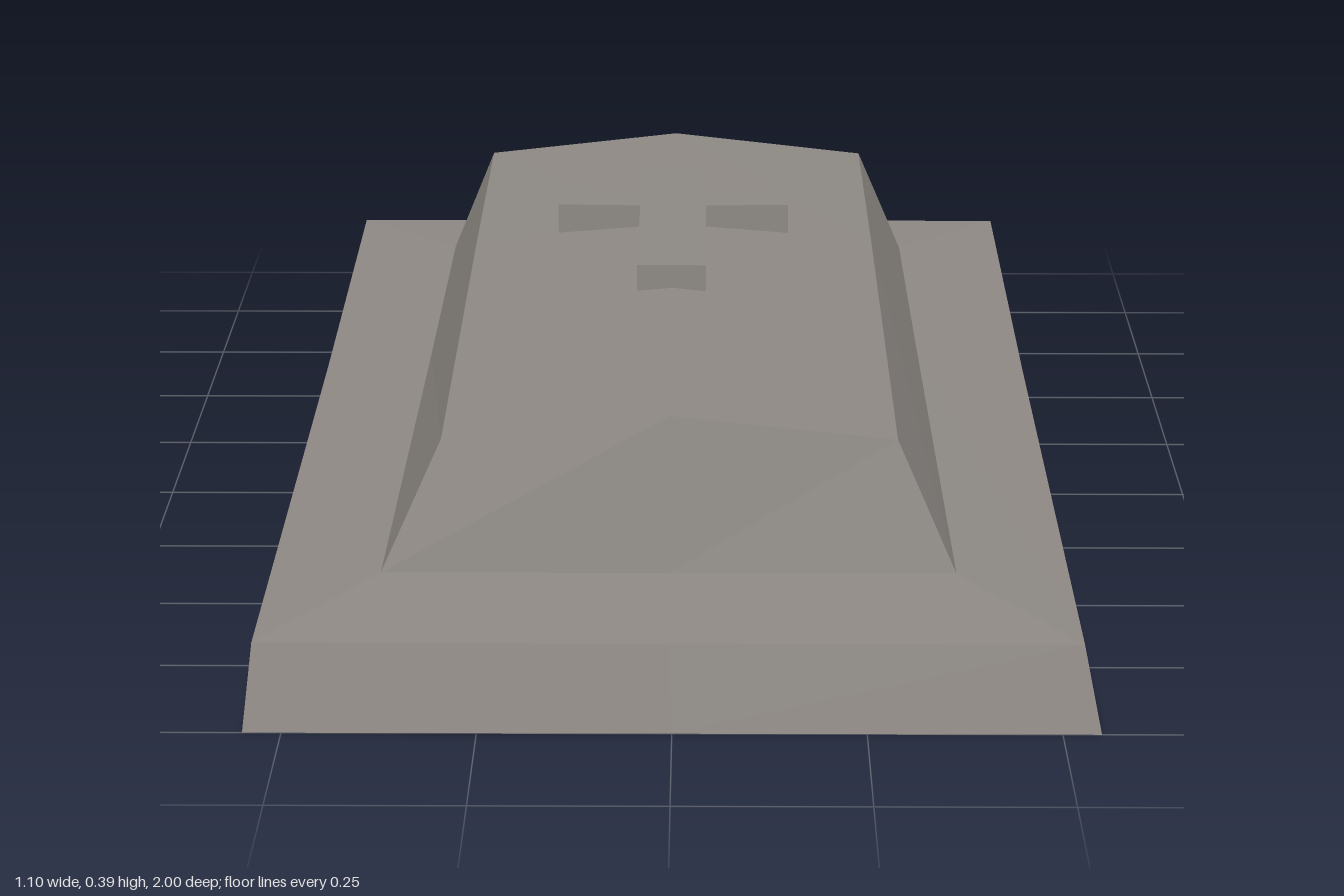
import * as THREE from 'three';

const stone = new THREE.MeshStandardMaterial({ color: 0x8c8782 });
const MID_Z = -0.2;

// Eight-point outline, counter-clockwise from above, plus a centre point.
// front/back: [z, xMin, xMax, y]; yMid: height at MID_Z; rise: ridge above the edge
function ring(front, yMid, back, rise = [0, 0, 0]) {
  const [zf, af, bf, yf] = front, [zb, ab, bb, yb] = back;
  const t = (zf - MID_Z) / (zf - zb);
  const am = af + (ab - af) * t, bm = bf + (bb - bf) * t;
  return [
    [bf, yf, zf], [bm, yMid, MID_Z], [bb, yb, zb],
    [(ab + bb) / 2, yb + rise[2], zb],
    [ab, yb, zb], [am, yMid, MID_Z], [af, yf, zf],
    [(af + bf) / 2, yf + rise[0], zf],
    [(am + bm) / 2, yMid + rise[1], MID_Z],
  ];
}

// Skin the rings from bottom to top, optionally closing either end
function loft(name, rings, capBottom, capTop) {
  const pos = [];
  const quad = (a, b, c, d) => pos.push(...a, ...b, ...c, ...a, ...c, ...d);
  for (let r = 0; r + 1 < rings.length; r++) {
    const lo = rings[r], hi = rings[r + 1];
    for (let i = 0; i < 8; i++) {
      const j = (i + 1) % 8;
      quad(lo[i], lo[j], hi[j], hi[i]);
    }
  }
  const cap = [[0, 1, 8, 7], [1, 2, 3, 8], [8, 3, 4, 5], [7, 8, 5, 6]];
  for (const c of cap) {
    if (capTop) quad(...c.map(i => rings.at(-1)[i]));
    if (capBottom) quad(...c.map(i => rings[0][i]).reverse());
  }
  const geo = new THREE.BufferGeometry();
  geo.setAttribute('position', new THREE.Float32BufferAttribute(pos, 3));
  geo.computeVertexNormals();
  const mesh = new THREE.Mesh(geo, stone);
  mesh.name = name;
  return mesh;
}

export function createModel() {
  const group = new THREE.Group();
  group.name = 'tombSlab';

  // Plinth: leaning walls and a sloped ledge up to the lid
  const ground = ring([1, -0.55, 0.55, 0], 0, [-1, -0.535, 0.53, 0]);
  const rim = ring([0.98, -0.537, 0.527, 0.115], 0.137, [-0.98, -0.528, 0.518, 0.165]);
  const foot = ring([0.775, -0.385, 0.373, 0.14], 0.157, [-0.778, -0.368, 0.357, 0.172]);
  group.add(loft('plinth', [ground, rim, foot], true, false));

  // Lid: tapered block with a shallow ridged top
  const eave = ring([0.745, -0.305, 0.295, 0.315], 0.335, [-0.75, -0.302, 0.288, 0.337],
    [0.032, 0.027, 0.033]);
  group.add(loft('lid', [foot, eave], false, true));

  // Raised cross
  const outline = [
    [-0.06, -0.44], [0.038, -0.44], [0.04, -0.3], [0.165, -0.3], [0.165, -0.205], [0.042, -0.2],
    [0.042, 0.145], [-0.057, 0.145], [-0.057, -0.2], [-0.18, -0.205], [-0.18, -0.3], [-0.058, -0.3],
  ];
  const shape = new THREE.Shape(outline.map(([x, z]) => new THREE.Vector2(x, -z)));
  const geo = new THREE.ExtrudeGeometry(shape, { depth: 0.06, bevelEnabled: false });
  geo.rotateX(-Math.PI / 2);
  const cross = new THREE.Mesh(geo, stone);
  cross.position.y = 0.33;
  cross.name = 'cross';
  group.add(cross);

  return group;
}
